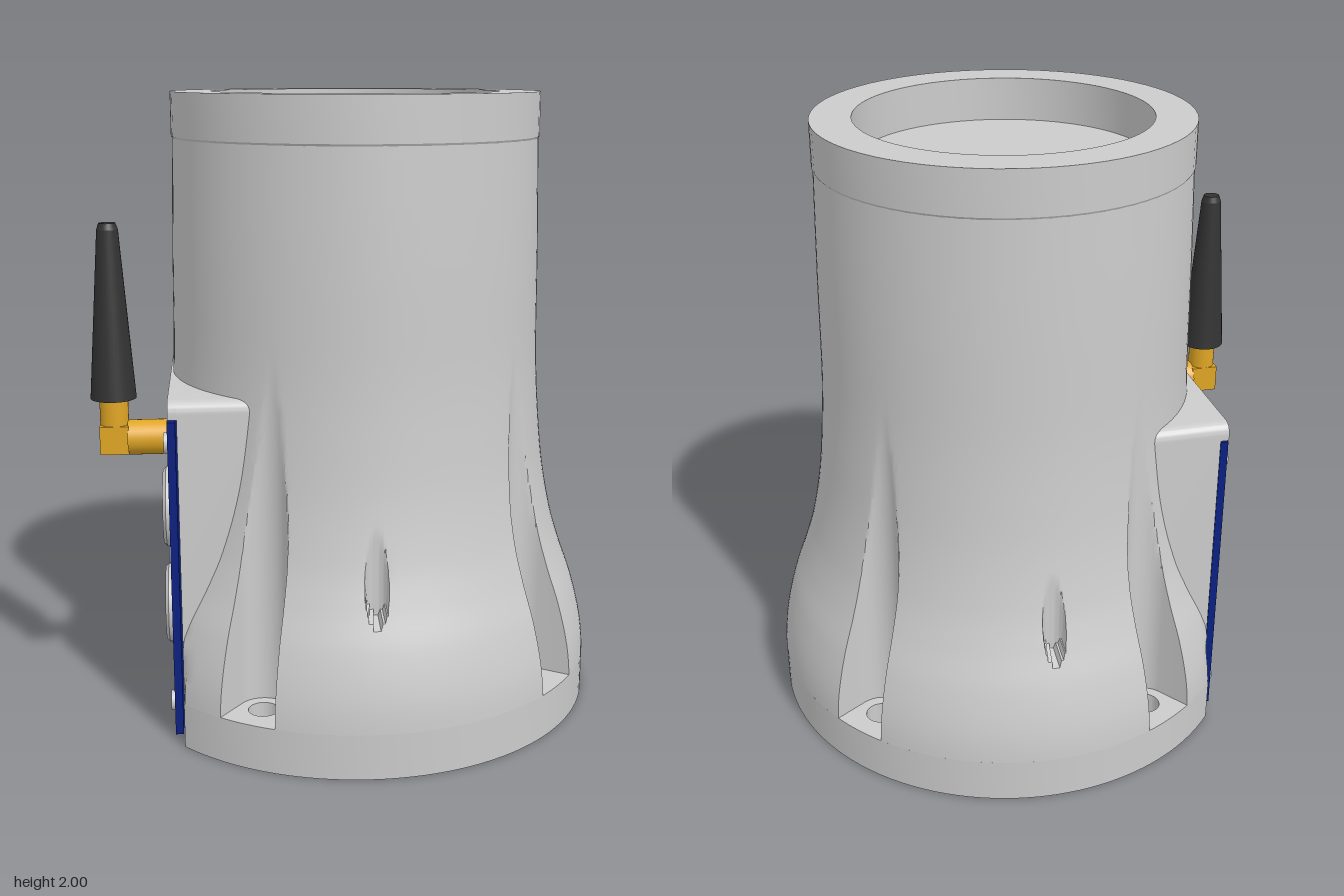
import * as THREE from 'three';
import { toCreasedNormals } from 'three/addons/utils/BufferGeometryUtils.js';

const AXIS = 0.03;      // x of the body's axis
const FLAT = 0.585;     // distance of the panel face from the axis
const FLOOR = 0.145;    // height of the slot floors
const BOLT = 0.68;      // bolt circle radius
const deg = Math.PI / 180;

const slots = [40, 120, 240, 320].map(a => ({ angle: a * deg, r: 0.08, slot: true }));
const bores = [90, 270].map(a => ({ angle: a * deg, r: 0.037, slot: false }));
const cuts = [...slots, ...bores];

const material = (color = 0xcccccc, side = THREE.FrontSide) => new THREE.MeshStandardMaterial({ color, side });
const grey = material();
const blue = material(0x0a2080);
const gold = material(0xe0a624);
const black = material(0x333333);
const copper = material(0xb07c58);

function add(parent, name, geometry, mat, x = 0, y = 0, z = 0) {
  const mesh = new THREE.Mesh(geometry, mat);
  mesh.name = name;
  mesh.position.set(x, y, z);
  parent.add(mesh);
  return mesh;
}

// Flared silhouette: [height, radius], interpolated smoothly
const silhouette = [[0, 0.79], [0.145, 0.79], [0.25, 0.778], [0.38, 0.745], [0.5, 0.702], [0.62, 0.666],
  [0.8, 0.632], [1, 0.612], [1.18, 0.602], [1.5, 0.597], [1.86, 0.588]];
function radiusAt(y) {
  let i = 0;
  while (i < silhouette.length - 2 && y > silhouette[i + 1][0]) i++;
  const p = k => silhouette[Math.max(0, Math.min(silhouette.length - 1, k))];
  const slope = k => (p(k + 1)[1] - p(k - 1)[1]) / (p(k + 1)[0] - p(k - 1)[0]);
  const [y0, r0] = p(i), [y1, r1] = p(i + 1), h = y1 - y0, t = (y - y0) / h;
  const s = t * t * (3 - 2 * t);
  return r0 + (r1 - r0) * s + h * (t * (1 - t) * (1 - t) * slope(i) - t * t * (1 - t) * slope(i + 1));
}

// Body radius in one direction, with the flat, slots and bores taken out
function bodyRadius(theta, y) {
  let r = radiusAt(y);
  const c = Math.cos(theta);
  if (c < 0 && y <= 1.04) r = Math.min(r, -FLAT / c);
  for (const cut of cuts) {
    const d = theta - cut.angle, side = BOLT * Math.sin(d);
    if (Math.cos(d) < 0 || Math.abs(side) >= cut.r) continue;
    const half = Math.sqrt(cut.r ** 2 - side ** 2), mid = BOLT * Math.cos(d);
    if (cut.slot || r < mid + half) r = Math.min(r, mid - half);
  }
  return r;
}

function bodyGeometry() {
  const thetas = [];
  for (let i = 0; i < 144; i++) thetas.push(i / 144 * 2 * Math.PI);
  for (const cut of cuts) {
    const w = Math.asin(cut.r / BOLT);
    for (let k = -8; k <= 8; k++) thetas.push(cut.angle + w * 0.999 * Math.sin(k / 16 * Math.PI));
    thetas.push(cut.angle - w * 1.003, cut.angle + w * 1.003);
  }
  thetas.sort((a, b) => a - b);
  const heights = [];
  for (let y = FLOOR; y < 1.3; y += 0.02) heights.push(y);
  heights.push(1.4, 1.5, 1.68, 1.86);
  const n = thetas.length, pos = [], index = [];
  heights.forEach((y, j) => thetas.forEach((t, i) => {
    const r = bodyRadius(t, y);
    pos.push(r * Math.cos(t), y, r * Math.sin(t));
    if (j === heights.length - 1) return;
    const a = j * n + i, b = j * n + (i + 1) % n;
    index.push(a, a + n, b, a + n, b + n, b);
  }));
  const g = new THREE.BufferGeometry();
  g.setAttribute('position', new THREE.Float32BufferAttribute(pos, 3));
  g.setIndex(index);
  return toCreasedNormals(g, 0.6);
}

// Foot plate: clipped circle with six through holes
function footGeometry() {
  const shape = new THREE.Shape();
  const a = Math.PI - Math.acos(FLAT / 0.79);
  shape.absarc(0, 0, 0.79, -a, a, false);
  shape.closePath();
  for (const cut of cuts) {
    const hole = new THREE.Path();
    hole.absarc(BOLT * Math.cos(cut.angle), BOLT * Math.sin(cut.angle), cut.slot ? 0.047 : 0.036, 0, 2 * Math.PI, true);
    shape.holes.push(hole);
  }
  const g = new THREE.ExtrudeGeometry(shape, { depth: FLOOR, bevelEnabled: false, curveSegments: 48 });
  g.rotateX(-Math.PI / 2);
  return toCreasedNormals(g, 0.6);
}

// Housing block with rounded upper corners, extruded along x
function blockGeometry(bottom, depth) {
  const w = 0.485, top = 1.1, r = 0.04, s = new THREE.Shape();
  s.moveTo(-w, bottom);
  s.lineTo(w, bottom);
  s.lineTo(w, top - r);
  s.quadraticCurveTo(w, top, w - r, top);
  s.lineTo(r - w, top);
  s.quadraticCurveTo(-w, top, -w, top - r);
  s.closePath();
  const g = new THREE.ExtrudeGeometry(s, { depth, bevelEnabled: false });
  g.rotateY(Math.PI / 2);
  return toCreasedNormals(g, 0.6);
}

// Cylinder lying along x
const disc = (r, length, sides = 32) => new THREE.CylinderGeometry(r, r, length, sides).rotateZ(Math.PI / 2);

function panelParts() {
  const g = new THREE.Group();
  g.name = 'connectorPanel';
  add(g, 'panelPlate', new THREE.BoxGeometry(0.025, 1.02, 0.95), blue, -0.5725, 0.525, 0);

  // Corner screws
  for (const y of [0.11, 0.96]) for (const z of [-0.425, 0.425])
    add(g, 'panelScrew', disc(0.032, 0.02, 20), grey, -0.587, y, z);

  // Round sockets with pins
  for (const y of [0.695, 0.365]) {
    const ring = new THREE.LatheGeometry([[0.128, 0], [0.128, 0.018], [0.118, 0.028], [0.092, 0.028], [0.092, 0.006]]
      .map(p => new THREE.Vector2(...p)), 36);
    ring.rotateZ(Math.PI / 2);
    add(g, 'socketRing', toCreasedNormals(ring, 0.5), grey, -0.583, y, 0.23);
    add(g, 'socketInsert', disc(0.094, 0.012), copper, -0.587, y, 0.23);
    for (let k = 0; k < 4; k++) {
      const a = (k + 0.5) * Math.PI / 2;
      add(g, 'socketPin', disc(0.015, 0.012, 12), grey, -0.593, y + 0.05 * Math.sin(a), 0.23 + 0.05 * Math.cos(a));
    }
  }

  // Round cover
  add(g, 'coverRim', disc(0.128, 0.02, 36), grey, -0.593, 0.36, -0.19);
  add(g, 'coverCap', disc(0.1, 0.03, 36), grey, -0.597, 0.36, -0.19);

  // Small flat ports above, square jacks below
  add(g, 'jackFrame', new THREE.BoxGeometry(0.02, 0.2, 0.43), grey, -0.59, 0.665, -0.145);
  for (const z of [-0.26, -0.04]) {
    add(g, 'flatPortFrame', new THREE.BoxGeometry(0.02, 0.095, 0.18), grey, -0.59, 0.88, z);
    add(g, 'flatPortOpening', new THREE.BoxGeometry(0.004, 0.055, 0.13), black, -0.6, 0.88, z);
    add(g, 'flatPortTongue', new THREE.BoxGeometry(0.004, 0.02, 0.11), grey, -0.602, 0.89, z);
    add(g, 'jackOpening', new THREE.BoxGeometry(0.004, 0.09, 0.13), black, -0.6, 0.645, z);
    add(g, 'jackNotch', new THREE.BoxGeometry(0.004, 0.04, 0.065), black, -0.6, 0.705, z);
  }
  return g;
}

function antenna() {
  const g = new THREE.Group();
  g.name = 'antenna';
  g.position.z = 0.235;
  add(g, 'antennaBarrel', disc(0.056, 0.135), gold, -0.6475, 0.93);
  add(g, 'antennaElbow', new THREE.BoxGeometry(0.09, 0.09, 0.09), gold, -0.757, 0.93);
  add(g, 'antennaCollar', new THREE.CylinderGeometry(0.045, 0.045, 0.1, 32), gold, -0.757, 1.02);
  add(g, 'antennaWhip', new THREE.CylinderGeometry(0.033, 0.072, 0.53, 32), black, -0.757, 1.325);
  add(g, 'antennaTip', new THREE.CylinderGeometry(0.026, 0.033, 0.02, 32), black, -0.757, 1.6);
  return g;
}

export function createModel() {
  const model = new THREE.Group();
  model.name = 'sensorHousing';

  add(model, 'flaredBody', bodyGeometry(), grey, AXIS);
  add(model, 'footPlate', footGeometry(), grey, AXIS);

  // Linings of the two narrow bores
  for (const b of bores)
    add(model, 'boreLining', new THREE.CylinderGeometry(0.036, 0.036, 0.27, 24, 1, true), material(0xcccccc, THREE.BackSide),
      AXIS, 0.28, BOLT * Math.sin(b.angle));

  // Top collar with its round recess
  const collar = new THREE.LatheGeometry([[0.585, 1.85], [0.592, 1.862], [0.592, 2], [0.463, 2], [0.463, 1.86], [0, 1.86]]
    .map(p => new THREE.Vector2(...p)), 72);
  add(model, 'topCollar', toCreasedNormals(collar, 0.5), grey, AXIS);

  // Block behind the panel and the lip above it
  add(model, 'panelHousing', blockGeometry(0.01, 0.255), grey, -0.555);
  add(model, 'panelLip', blockGeometry(1.045, 0.04), grey, -0.582);

  model.add(panelParts(), antenna());
  return model;
}
